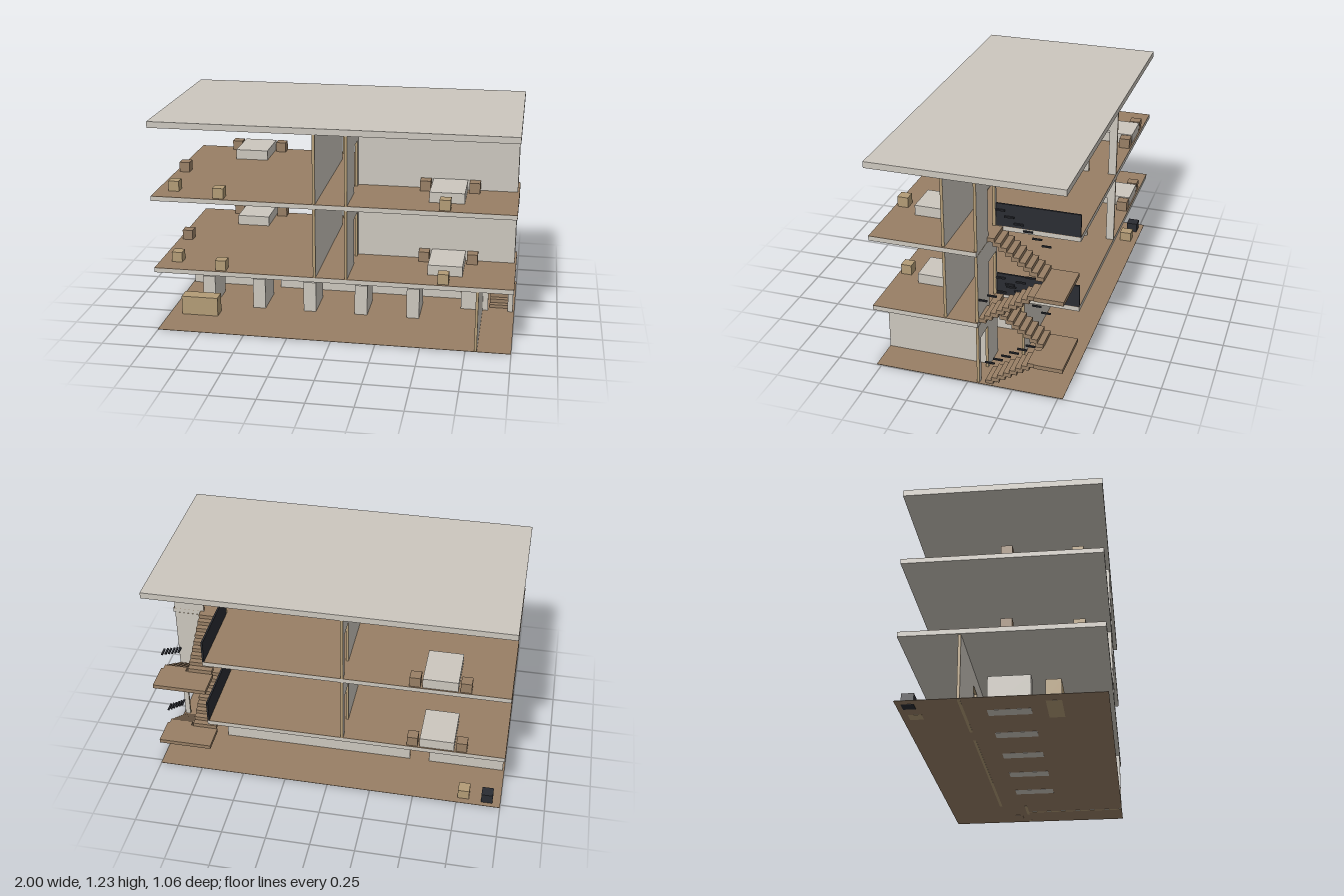
import * as THREE from 'three';

const mat = (name, color) => Object.assign(new THREE.MeshStandardMaterial({ color }), { name });

export function createModel() {
  const plaster = mat('plaster', 0xccc7be);
  const wood = mat('wood', 0x987f65);
  const tan = mat('tan', 0xb39c76);
  const dark = mat('charcoal', 0x2a2c32);
  const model = new THREE.Group();
  model.name = 'openHouse';

  const add = (parent, name, geometry, material) => {
    const mesh = new THREE.Mesh(geometry, material);
    mesh.name = name;
    parent.add(mesh);
    return mesh;
  };
  // Box given by its limits on each axis
  const box = (parent, name, material, [x0, x1], [y0, y1], [z0, z1]) => {
    const g = new THREE.BoxGeometry(x1 - x0, y1 - y0, z1 - z0);
    g.translate((x0 + x1) / 2, (y0 + y1) / 2, (z0 + z1) / 2);
    return add(parent, name, g, material);
  };

  // Wall panel with an optional doorway, plaster faces and tan edges
  const T = 0.015, DOOR_H = 0.267;
  const wall = (parent, name, axis, at, [a, b], [y0, y1], door) => {
    const s = new THREE.Shape();
    s.moveTo(a, y0);
    if (door) {
      s.lineTo(door[0], y0);
      s.lineTo(door[0], y0 + DOOR_H);
      s.lineTo(door[1], y0 + DOOR_H);
      s.lineTo(door[1], y0);
    }
    s.lineTo(b, y0);
    s.lineTo(b, y1);
    s.lineTo(a, y1);
    s.closePath();
    const g = new THREE.ExtrudeGeometry(s, { depth: T, bevelEnabled: false });
    g.translate(0, 0, -T / 2);
    if (axis === 'z') g.rotateY(-Math.PI / 2).translate(at, 0, 0);
    else g.translate(0, 0, at);
    return add(parent, name, g, [plaster, tan]);
  };

  // Floor plate with a stairwell notch in the back left corner
  const plate = (parent, name, material, top, depth) => {
    const s = new THREE.Shape();
    [[-1, -0.525], [0.69, -0.525], [0.69, -0.063], [1, -0.063], [1, 0.527], [-1, 0.527]]
      .forEach(([x, z], i) => (i ? s.lineTo(x, z) : s.moveTo(x, z)));
    s.closePath();
    const g = new THREE.ExtrudeGeometry(s, { depth, bevelEnabled: false });
    g.rotateX(Math.PI / 2).translate(0, top, 0);
    return add(parent, name, g, material);
  };

  // Ground floor
  const ground = new THREE.Group();
  ground.name = 'groundFloor';
  model.add(ground);
  box(ground, 'groundPlate', wood, [-1, 1], [0.001, 0.003], [-0.527, 0.527]);
  const gy = [0, 0.355];
  wall(ground, 'groundBackWall', 'x', -0.208, [-0.99, 0.675], gy, [-0.555, -0.44]);
  wall(ground, 'groundStairWall', 'x', -0.057, [0.685, 0.99], gy, [0.845, 0.96]);
  wall(ground, 'groundSideWall', 'z', 0.806, [-0.0495, 0.525], gy);
  for (let i = 0; i < 5; i++) {
    const x = -0.802 + i * 0.305;
    box(ground, 'divider', plaster, [x - 0.037, x + 0.037], [0, 0.185], [-0.087, 0.135]);
  }
  box(ground, 'desk', tan, [-0.925, -0.71], [0, 0.115], [0.215, 0.295]);
  box(ground, 'tanBin', tan, [-0.82, -0.755], [0, 0.06], [-0.49, -0.42]);
  box(ground, 'darkBin', dark, [-0.955, -0.89], [0, 0.06], [-0.5, -0.435]);

  // Two identical upper storeys
  [[0.38, 0.775], [0.802, 1.19]].forEach(([y0, y1], n) => {
    const floor = new THREE.Group();
    floor.name = `upperFloor${n + 1}`;
    model.add(floor);
    plate(floor, 'floorSlab', plaster, y0 - 0.002, 0.025);
    plate(floor, 'floorBoards', wood, y0, 0.002);

    const wy = [y0, y1];
    wall(floor, 'longPartition', 'z', -0.088, [-0.525, 0.525], wy, [-0.48, -0.365]);
    wall(floor, 'roomSideWall', 'z', 0.087, [0.1255, 0.525], wy, [0.16, 0.28]);
    wall(floor, 'roomBackWall', 'x', 0.118, [0.08, 0.99], wy);
    wall(floor, 'stairWall', 'x', -0.057, [0.68, 0.99], wy, [0.70, 0.815]);
    box(floor, 'stairGuard', dark, [0.68, 0.69], [y0, y0 + 0.13], [-0.525, -0.066]);

    // Bed with a nightstand at each side of its head
    const fy = [y0, y0 + 0.058];
    const bedSet = (x, z) => {
      box(floor, 'bed', plaster, [x - 0.096, x + 0.096], fy, [z, z + 0.256]);
      for (const s of [-1, 1]) {
        const c = x + s * 0.137;
        box(floor, 'nightstand', wood, [c - 0.03, c + 0.03], fy, [z, z + 0.062]);
      }
    };
    bedSet(0.617, 0.127);
    bedSet(-0.62, -0.517);
    for (const [x, z, m] of [[0.617, 0.48, tan], [-0.622, 0.48, tan], [-0.9, 0.39, tan], [-0.947, 0.025, wood]])
      box(floor, 'stool', m, [x - 0.03, x + 0.03], fy, [z - 0.03, z + 0.03]);
  });

  box(model, 'roof', plaster, [-1, 1], [1.19, 1.225], [-0.53, 0.53]);

  // Stairs: outer flight up to a landing, inner flight back to the next floor
  const stairs = new THREE.Group();
  stairs.name = 'stairs';
  model.add(stairs);
  const flight = (xs, y0, y1, z0, z1, count) => {
    const rise = (y1 - y0) / count, run = (z1 - z0) / count;
    for (let i = 0; i < count; i++) {
      const a = z0 + run * i, b = a + run * 1.3, top = y0 + rise * (i + 1);
      box(stairs, 'step', wood, xs, [top - 0.0235, top], [Math.min(a, b), Math.max(a, b)]);
    }
  };
  // Handrail made of short separate bars
  const rail = (x, y0, y1, z0, z1) => {
    for (let i = 0; i < 6; i++) {
      const y = y0 + (y1 - y0) * i / 5, z = z0 + (z1 - z0) * i / 5;
      box(stairs, 'railBar', dark, [x - 0.005, x + 0.005], [y - 0.004, y + 0.004], [z - 0.026, z + 0.026]);
    }
  };
  const outer = [0.853, 0.985], inner = [0.695, 0.835];
  for (const [base, mid, top, start, count] of [[0, 0.181, 0.385, -0.095, 8], [0.38, 0.591, 0.802, -0.06, 9]]) {
    flight(outer, base, mid - 0.004, start, -0.36, count);
    box(stairs, 'landing', wood, [0.69, 0.995], [mid - 0.023, mid], [-0.522, -0.365]);
    flight(inner, mid, top, -0.37, -0.07, 9);
    rail(0.98, base + 0.133, mid + 0.102, start - 0.025, -0.344);
    rail(0.7, mid + 0.132, mid + 0.308, -0.344, -0.09);
  }
  return model;
}
